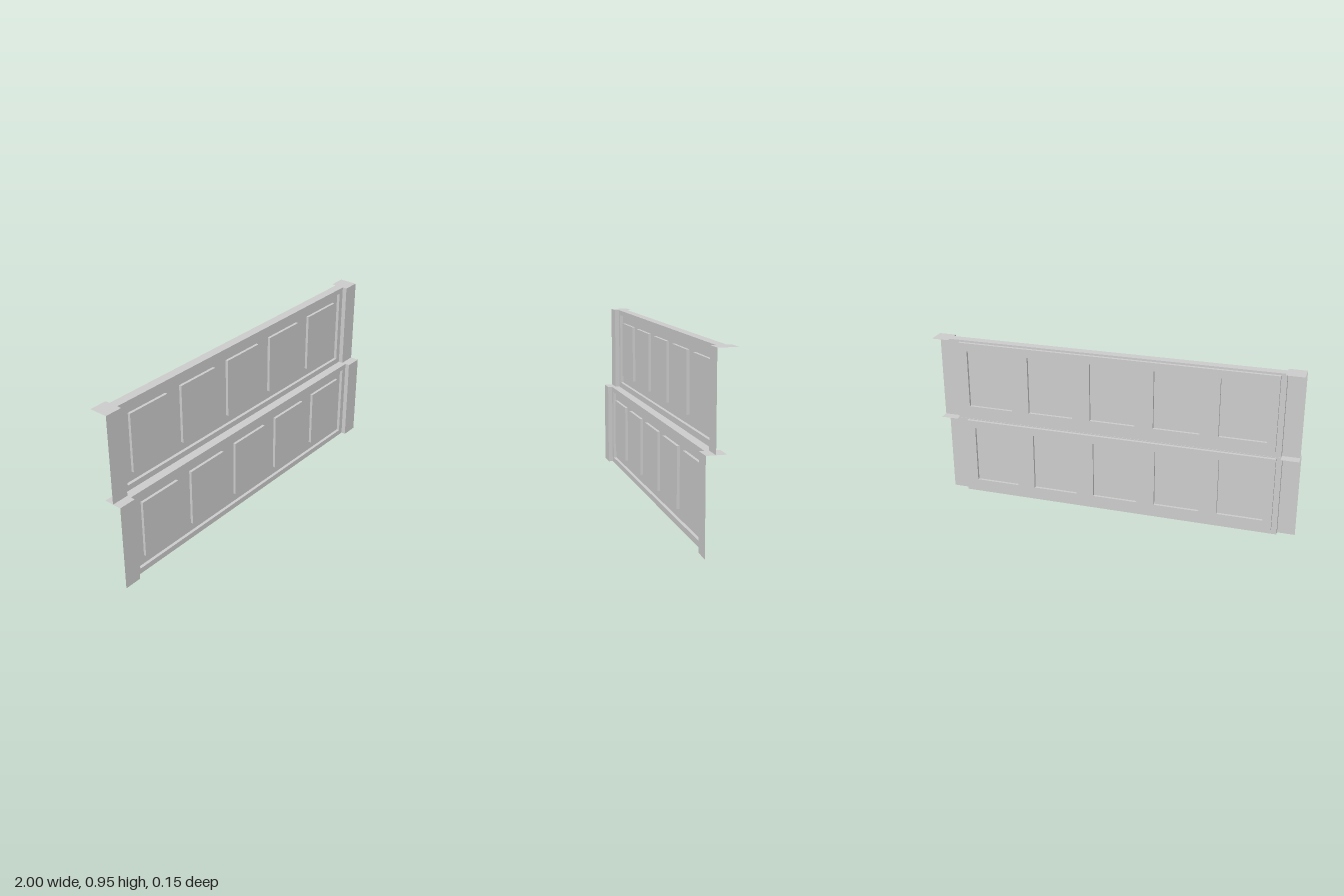
import * as THREE from 'three';

const material = new THREE.MeshStandardMaterial({ color: 0xcccccc, side: THREE.DoubleSide, flatShading: true });

const TIER_HEIGHT = 0.477;
const PIER_INNER = 0.905;             // x where the end piers meet the wall
const PIER_Z = 0.05, WALL_Z = 0.025;  // half depths of piers and wall
const FIELD_Z = 0.008;                // depth of the sunken field
const PANEL_Z = 0.023;                // face of the raised panels
const FIELD = [-0.875, 0.031, 0.875, 0.448];
const PANELS = [-2, -1, 0, 1, 2].map(i => [i * 0.351 - 0.126, 0.081, i * 0.351 + 0.126, 0.403]);

const corners = ([x0, y0, x1, y1]) => [[x0, y0], [x1, y0], [x1, y1], [x0, y1]];
const outline = points => points.map(([x, y]) => new THREE.Vector2(x, y));

function add(parent, name, geometry) {
  const mesh = new THREE.Mesh(geometry, material);
  mesh.name = name;
  parent.add(mesh);
  return mesh;
}

// Flat upright sheet facing +z, with optional rectangular holes
function sheet(rect, z, holes = []) {
  const shape = new THREE.Shape(outline(corners(rect)));
  for (const h of holes) shape.holes.push(new THREE.Path(outline(corners(h).reverse())));
  return new THREE.ShapeGeometry(shape).translate(0, 0, z);
}

// Strip that carries a line of points from depth z0 to depth z1
function strip(points, z0, z1) {
  const pos = [];
  for (let i = 0; i + 1 < points.length; i++) {
    const [a, b] = [points[i], points[i + 1]];
    pos.push(...a, z0, ...b, z0, ...b, z1, ...a, z0, ...b, z1, ...a, z1);
  }
  const geometry = new THREE.BufferGeometry();
  geometry.setAttribute('position', new THREE.Float32BufferAttribute(pos, 3));
  geometry.computeVertexNormals();
  return geometry;
}

// Four edge walls around a rectangle
function rim(rect, z0, z1) {
  const c = corners(rect);
  return strip([...c, c[0]], z0, z1);
}

function createTier(name) {
  const tier = new THREE.Group();
  tier.name = name;

  // Frame around the sunken field
  add(tier, 'frame', sheet([-PIER_INNER, 0, PIER_INNER, TIER_HEIGHT], WALL_Z, [FIELD]));
  add(tier, 'fieldRim', rim(FIELD, FIELD_Z, WALL_Z));
  add(tier, 'field', sheet(FIELD, FIELD_Z, PANELS));

  // Row of raised panels
  for (const rect of PANELS) {
    const panel = new THREE.Group();
    panel.name = 'raisedPanel';
    add(panel, 'panelFace', sheet(rect, PANEL_Z));
    add(panel, 'panelEdge', rim(rect, PANEL_Z, FIELD_Z));
    tier.add(panel);
  }

  // End piers: a front face and the return to the wall
  for (const [side, s] of [['left', 1], ['right', -1]]) {
    const x = s * PIER_INNER;
    add(tier, side + 'PierFace', sheet([Math.min(x, s), 0, Math.max(x, s), TIER_HEIGHT], PIER_Z));
    add(tier, side + 'PierReturn', strip(s > 0 ? [[x, TIER_HEIGHT], [x, 0]] : [[x, 0], [x, TIER_HEIGHT]], WALL_Z, PIER_Z));
  }

  // Flat top, wider in depth over the piers
  const p = PIER_INNER;
  const top = new THREE.Shape(outline([
    [-1, -PIER_Z], [-p, -PIER_Z], [-p, -WALL_Z], [p, -WALL_Z], [p, -PIER_Z], [1, -PIER_Z],
    [1, PIER_Z], [p, PIER_Z], [p, WALL_Z], [-p, WALL_Z], [-p, PIER_Z], [-1, PIER_Z],
  ]));
  add(tier, 'top', new THREE.ShapeGeometry(top).rotateX(-Math.PI / 2).translate(0, TIER_HEIGHT, 0));
  return tier;
}

export function createModel() {
  const model = new THREE.Group();
  model.name = 'panelledWall';

  // The upper tier stands behind the lower one
  const lower = createTier('lowerTier');
  lower.position.z = 0.024;
  const upper = createTier('upperTier');
  upper.position.set(0, TIER_HEIGHT, -0.024);
  model.add(lower, upper);
  return model;
}
